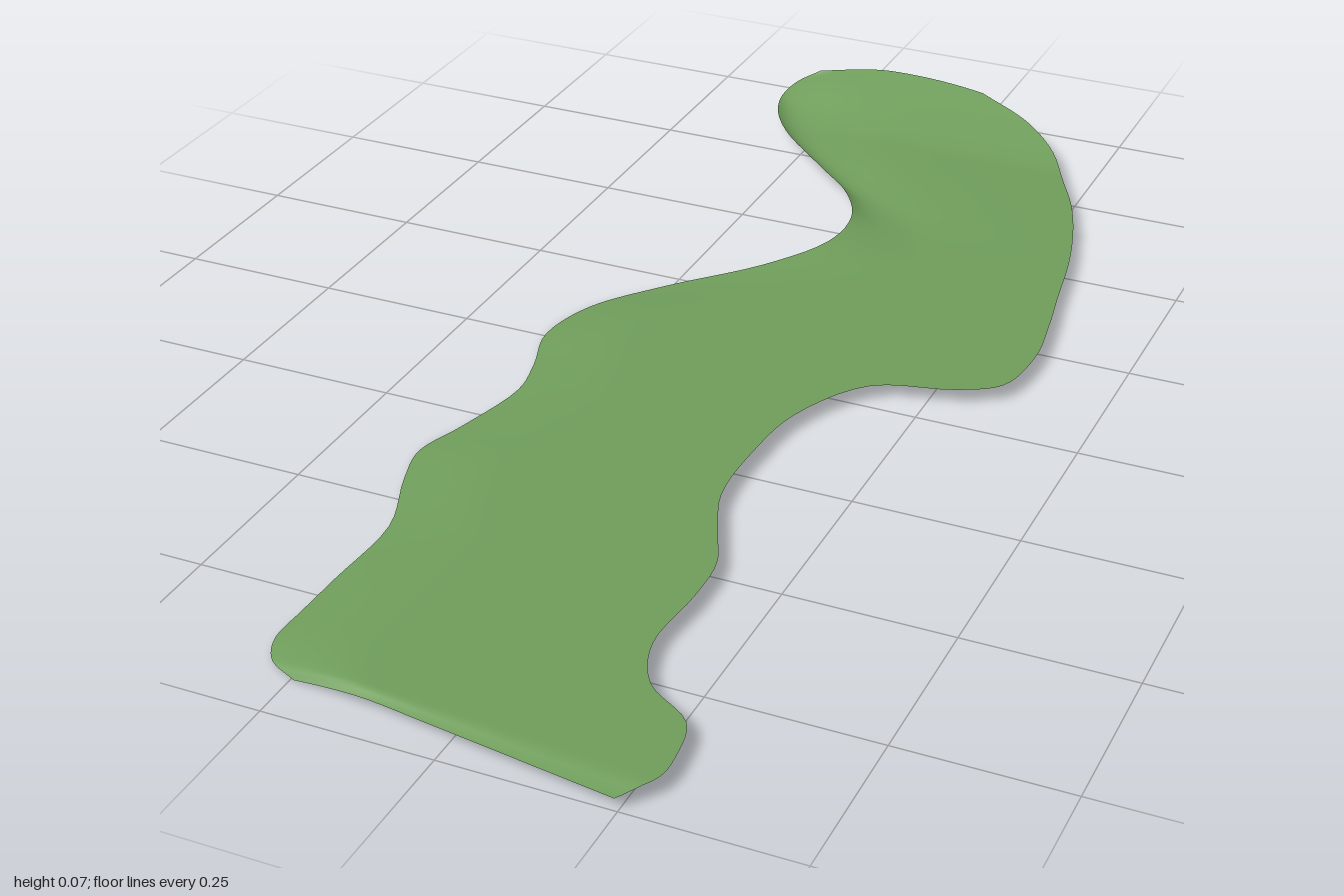
import * as THREE from 'three';

// Edge outlines from back to front, as x, y, z triples; matching entries form one cross-section.
const LEFT = [
  -.31, .053, -.985, -.345, .035, -.965, -.357, .025, -.93, -.34, .025, -.86, -.29, .026, -.78,
  -.19, .028, -.68, -.1, .031, -.59, -.055, .034, -.5, -.06, .032, -.41, -.13, .024, -.31,
  -.25, .014, -.2, -.335, .008, -.1, -.36, .006, 0, -.33, .01, .1, -.315, .012, .18,
  -.345, .008, .3, -.37, .006, .38, -.35, .008, .46, -.305, .012, .58, -.307, .012, .72,
  -.31, .01, .8, -.312, .008, .86, -.302, .006, .89, -.285, .005, .91, -.245, .001, .927,
];
// Right edge lies on the sheet's own height, so only x, z pairs are needed.
const RIGHT = [
  0, -.985, .1, -.935, .17, -.87, .22, -.78, .26, -.7, .295, -.6, .32, -.5, .337, -.4,
  .355, -.3, .367, -.2, .35, -.1, .29, -.06, .17, -.02, .1, .1, .085, .22, .09, .34,
  .125, .43, .155, .5, .16, .58, .155, .7, .19, .78, .265, .835, .282, .9, .28, .95, .245, .998,
];

const toCurve = (data, size) => {
  const points = [];
  for (let i = 0; i < data.length; i += size) {
    points.push(size === 3
      ? new THREE.Vector3(data[i], data[i + 1], data[i + 2])
      : new THREE.Vector3(data[i], 0, data[i + 1]));
  }
  return new THREE.CatmullRomCurve3(points);
};

// Height of the sheet: flat, sweeping up at the back end.
const sheetHeight = (z) => .025 + .045 * Math.pow(Math.max(0, (-.82 - z) / .18), 1.3);

function sheetGeometry(rows = 120, cols = 24) {
  const left = toCurve(LEFT, 3), right = toCurve(RIGHT, 2);
  const smooth = THREE.MathUtils.smoothstep;
  const positions = [], indices = [];
  for (let i = 0; i <= rows; i++) {
    const t = i / rows;
    const a = left.getPoint(t), b = right.getPoint(t);
    const width = Math.hypot(b.x - a.x, b.z - a.z);
    const bulge = .015 * Math.max(0, 1 - t * 12);
    const lip = .007 * smooth(t, .97, 1);
    for (let j = 0; j <= cols; j++) {
      const s = Math.pow(j / cols, 1.6); // finer towards the bent left edge
      const d = s * width;
      const x = a.x + (b.x - a.x) * s;
      const z = a.z + (b.z - a.z) * s - bulge * 4 * s * (1 - s);
      // left rim blends into the sheet
      const base = sheetHeight(z) - lip;
      const rim = Math.pow(Math.max(0, 1 - d / .13), 1.5);
      // shallow valley beside the inner bend
      const zone = smooth(a.z, -.97, -.88) * (1 - smooth(a.z, -.65, -.4));
      const valley = .013 * zone * (d / .05) * Math.exp(1 - d / .05);
      positions.push(x, base + (a.y - base) * rim - valley, z);
    }
  }
  const n = cols + 1;
  for (let i = 0; i < rows; i++) {
    for (let j = 0; j < cols; j++) {
      const k = i * n + j;
      indices.push(k, k + n, k + 1, k + 1, k + n, k + n + 1);
    }
  }
  const geometry = new THREE.BufferGeometry();
  geometry.setAttribute('position', new THREE.Float32BufferAttribute(positions, 3));
  geometry.setIndex(indices);
  geometry.computeVertexNormals();
  return geometry;
}

export function createModel() {
  const group = new THREE.Group();
  group.name = 'grassPatch';
  const green = new THREE.MeshStandardMaterial({ color: 0x6f9d5b, side: THREE.DoubleSide });
  green.name = 'grass green';
  const sheet = new THREE.Mesh(sheetGeometry(), green);
  sheet.name = 'grassSheet';
  group.add(sheet);
  return group;
}
